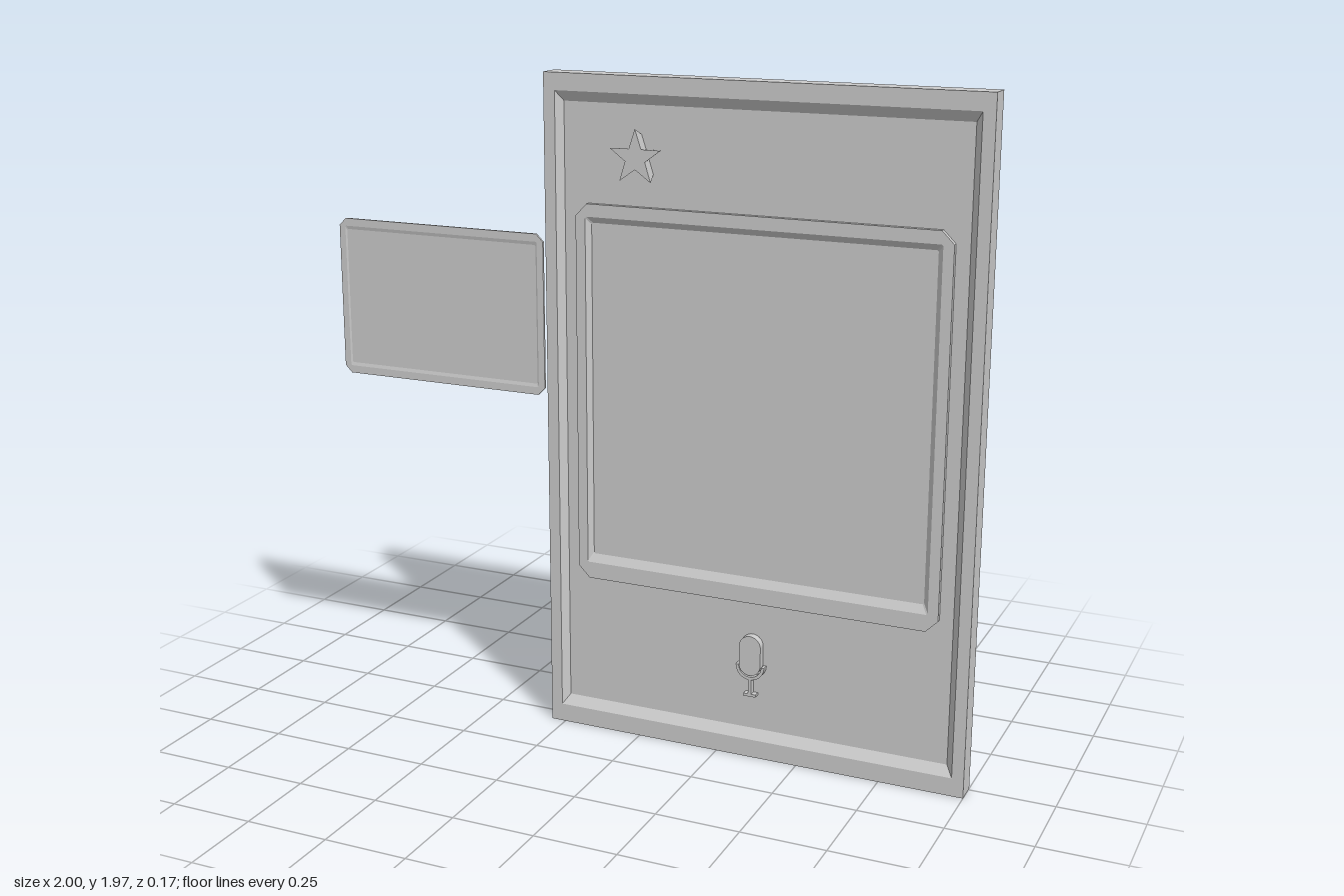
import * as THREE from 'three';

const MID = 0.353; // x centre of the slab
const FLOOR_F = 0.04, FLOOR_B = 0.007; // recessed faces of the slab

// Rectangular loop, counter-clockwise from the front, optionally chamfered
function rect(x0, x1, y0, y1, z, c = 0) {
  const pts = c
    ? [[x0 + c, y0], [x1 - c, y0], [x1, y0 + c], [x1, y1 - c], [x1 - c, y1], [x0 + c, y1], [x0, y1 - c], [x0, y0 + c]]
    : [[x0, y0], [x1, y0], [x1, y1], [x0, y1]];
  return pts.map(([x, y]) => [x, y, z]);
}

// Flat-faced solid through loops running from the front cap to the back cap
function loft(loops) {
  const pos = [];
  const tri = (a, b, c) => pos.push(...a, ...b, ...c);
  const centre = (l) => [0, 1, 2].map((k) => l.reduce((s, p) => s + p[k], 0) / l.length);
  const n = loops[0].length, last = loops[loops.length - 1];
  const c0 = centre(loops[0]), c1 = centre(last);
  for (let i = 0; i < n; i++) {
    const j = (i + 1) % n;
    tri(c0, loops[0][i], loops[0][j]);
    for (let k = 0; k + 1 < loops.length; k++) {
      const a = loops[k], b = loops[k + 1];
      tri(a[i], b[i], b[j]);
      tri(a[i], b[j], a[j]);
    }
    tri(c1, last[j], last[i]);
  }
  const g = new THREE.BufferGeometry();
  g.setAttribute('position', new THREE.Float32BufferAttribute(pos, 3));
  g.computeVertexNormals();
  return g;
}

// Flat plate from a list of corners or a shape
function plate(outline, z0, z1) {
  const shape = Array.isArray(outline) ? new THREE.Shape(outline.map(([x, y]) => new THREE.Vector2(x, y))) : outline;
  return new THREE.ExtrudeGeometry(shape, { depth: z1 - z0, bevelEnabled: false, curveSegments: 10 }).translate(0, 0, z0);
}

export function createModel() {
  const model = new THREE.Group();
  const material = new THREE.MeshStandardMaterial({ color: 0xcccccc, flatShading: true });
  const add = (name, geometry, parent = model) => {
    const mesh = new THREE.Mesh(geometry, material);
    mesh.name = name;
    parent.add(mesh);
  };
  const group = (name) => {
    const g = new THREE.Group();
    g.name = name;
    model.add(g);
    return g;
  };

  // Slab with a bevelled recess on both faces
  add('slab', loft([
    rect(-0.24, 0.945, 0.085, 1.89, FLOOR_F),
    rect(-0.26, 0.965, 0.055, 1.92, 0.059),
    rect(-0.295, 1, 0, 1.97, 0.059),
    rect(-0.295, 1, 0, 1.97, -0.008),
    rect(-0.26, 0.965, 0.055, 1.92, -0.008),
    rect(-0.24, 0.945, 0.085, 1.89, FLOOR_B),
  ]));

  // Raised screen frame with a sunken panel
  add('screen', loft([
    rect(-0.155, 0.86, 0.555, 1.55, 0.043, 0.004),
    rect(-0.17, 0.875, 0.53, 1.568, 0.055, 0.004),
    rect(-0.2, 0.905, 0.48, 1.605, 0.055, 0.035),
    rect(-0.2, 0.905, 0.48, 1.605, FLOOR_F - 0.005, 0.035),
  ]));

  // Thin detached card, sunken on both sides
  add('card', loft([
    rect(-0.975, -0.335, 1.058, 1.472, 0.0455, 0.003),
    rect(-0.98, -0.33, 1.048, 1.482, 0.048, 0.003),
    rect(-1, -0.31, 1.025, 1.505, 0.048, 0.022),
    rect(-1, -0.31, 1.025, 1.505, 0.041, 0.022),
    rect(-0.98, -0.33, 1.048, 1.482, 0.041, 0.003),
    rect(-0.975, -0.335, 1.058, 1.472, 0.0435, 0.003),
  ]));

  // Star, tapering toward the slab
  const starLoop = (r, z) => Array.from({ length: 10 }, (_, i) => {
    const a = Math.PI / 2 + (i * Math.PI) / 5, q = i % 2 ? r * 0.39 : r;
    return [q * Math.cos(a), 1.747 + q * Math.sin(a), z];
  });
  add('star', loft([starLoop(0.081, 0.086), starLoop(0.06, FLOOR_F - 0.002)]));

  // Microphone emblem
  const mic = group('microphone');
  const head = new THREE.Shape();
  head.absarc(MID, 0.348, 0.033, 0, Math.PI, false);
  head.absarc(MID, 0.292, 0.033, Math.PI, 2 * Math.PI, false);
  add('microphoneHead', plate(head, 0.035, 0.063), mic);
  const cradle = new THREE.Shape();
  cradle.absarc(MID, 0.288, 0.044, Math.PI, 2 * Math.PI, false);
  cradle.absarc(MID, 0.288, 0.035, 2 * Math.PI, Math.PI, true);
  add('microphoneCradle', plate(cradle, 0.035, 0.06), mic);
  const box = (x0, x1, y0, y1) => [[x0, y0], [x1, y0], [x1, y1], [x0, y1]];
  add('microphoneStem', plate(box(MID - 0.005, MID + 0.005, 0.198, 0.247), 0.035, 0.06), mic);
  add('microphoneBase', plate(box(MID - 0.019, MID + 0.019, 0.192, 0.2), 0.035, 0.06), mic);

  // Mirrored relief on the back: outlines, top heights
  const relief = group('backRelief');
  const pieces = [
    ['peakLine', -0.004, [[0.955, 1.69], [0.515, 1.69], [0.37, 1.9], [0.355, 1.9], [0.355, 1.88], [0.503, 1.665], [0.955, 1.665]]],
    ['upperBar', -0.004, box(0.535, 0.955, 1.435, 1.465)],
    ['lowerBar', -0.004, box(0.6, 0.955, 1.34, 1.37)],
    ['diamondArm', -0.02, [[MID, 1.51], [0.55, 1.292], [0.526, 1.268], [MID, 1.463]]],
    ['diamondFoot', -0.02, [[0.52, 1.29], [0.492, 1.305], [0.432, 1.245], [0.458, 1.225]]],
    ['diamondBar', -0.02, [[0.458, 1.29], [0.442, 1.305], [0.375, 1.235], [0.39, 1.22]]],
  ];
  for (const [name, top, pts] of pieces) {
    add(name + 'Left', plate(pts, top, FLOOR_B + 0.004), relief);
    add(name + 'Right', plate(pts.map(([x, y]) => [2 * MID - x, y]), top, FLOOR_B + 0.004), relief);
  }

  // Faceted gem pointing backward
  const kite = (s, z) => [[0, -0.135], [0.092, 0], [0, 0.092], [-0.092, 0]].map(([x, y]) => [MID + x * s, 1.358 + y * s, z]);
  add('gem', loft([kite(1, FLOOR_B + 0.004), kite(1, -0.02), kite(0.001, -0.086)]));

  // Name plate frame on the back, with a sunken centre
  add('backFrame', loft([
    rect(-0.175, 0.88, 0.865, 1.11, FLOOR_B + 0.004),
    rect(-0.175, 0.88, 0.865, 1.11, -0.014),
    rect(-0.155, 0.86, 0.885, 1.09, -0.014),
    rect(-0.138, 0.843, 0.905, 1.07, FLOOR_B - 0.003),
  ]));

  return model;
}
